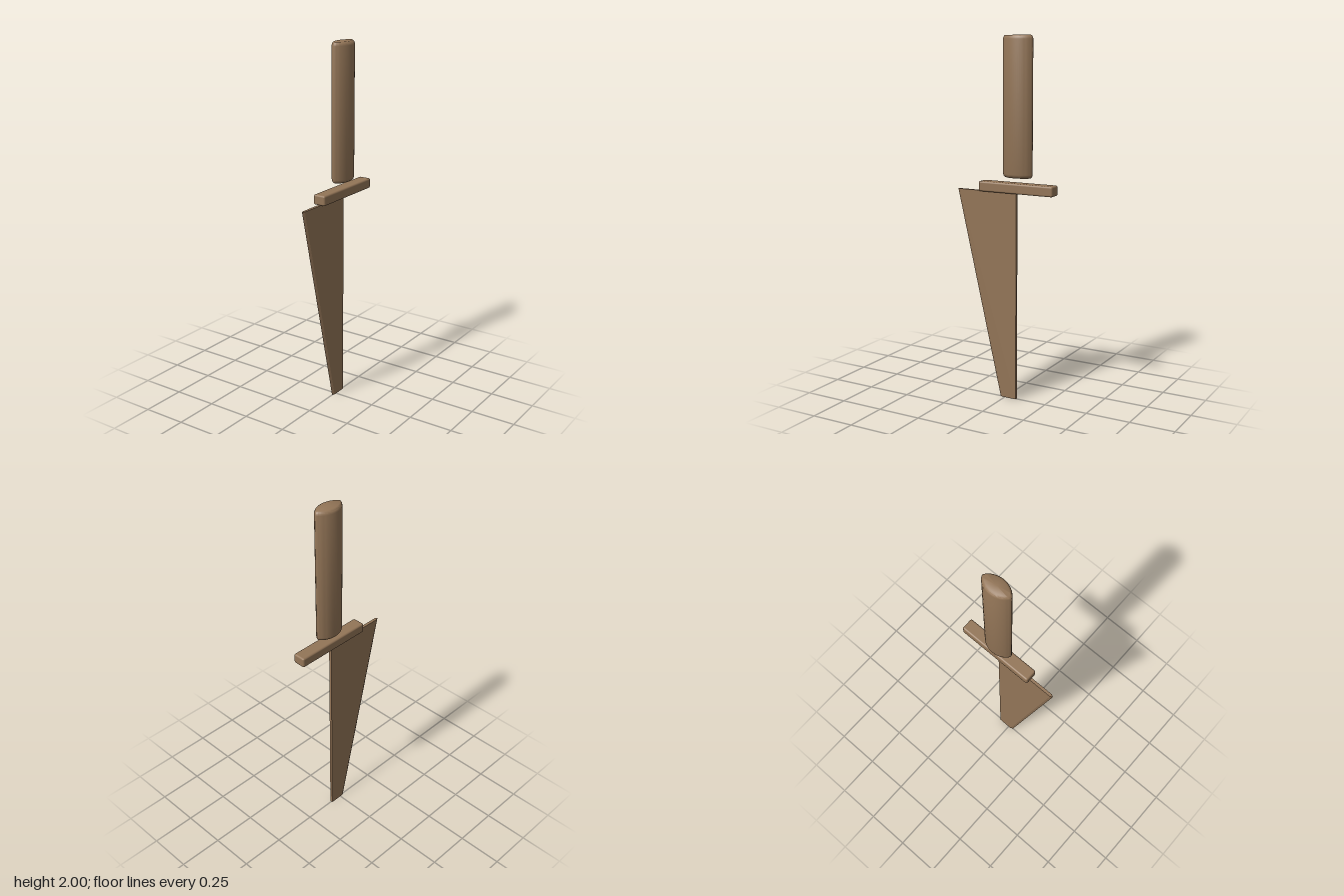
import * as THREE from 'three';
import { toCreasedNormals } from 'three/addons/utils/BufferGeometryUtils.js';
import { RoundedBoxGeometry } from 'three/addons/geometries/RoundedBoxGeometry.js';

const wood = new THREE.MeshStandardMaterial({ color: 0x937557 });
wood.name = 'brown wood';

// Lens-shaped grip: a lathe whose round section is reshaped to a pointed oval
function gripGeometry() {
  const rim = [[0, 0], [0.72, 0], [0.86, 0.004], [0.95, 0.01], [1, 0.02]];
  const profile = [
    ...rim.map(([r, h]) => new THREE.Vector2(r, 1.25 + h)),
    ...rim.reverse().map(([r, h]) => new THREE.Vector2(r, 2 - h)),
  ];
  const geometry = new THREE.LatheGeometry(profile, 48);
  const p = geometry.attributes.position;
  for (let i = 0; i < p.count; i++) {
    const r = Math.hypot(p.getX(i), p.getZ(i));
    const s = r ? p.getX(i) / r : 0;
    const c = r ? p.getZ(i) / r : 0;
    p.setX(i, 0.05 * r * Math.sign(s) * Math.abs(s) ** 1.4);
    p.setZ(i, -0.076 + 0.089 * Math.sqrt(r) * c);
  }
  return toCreasedNormals(geometry, 0.7);
}

// Thin blade with a square spine and a sharpened front, widening upwards
function bladeGeometry() {
  const t = 0.008;
  const section = new THREE.Shape([
    [-t, 0.07], [-t, -0.016], [0, -0.03], [t, -0.016], [t, 0.07],
  ].map(([x, y]) => new THREE.Vector2(x, y)));
  const geometry = new THREE.ExtrudeGeometry(section, { depth: 1.165, bevelEnabled: false });
  geometry.rotateX(-Math.PI / 2);
  const p = geometry.attributes.position;
  for (let i = 0; i < p.count; i++) {
    if (p.getY(i) > 0.5 && p.getZ(i) > 0) p.setZ(i, p.getZ(i) + 0.27);
  }
  geometry.computeVertexNormals();
  return toCreasedNormals(geometry, 0.2);
}

export function createModel() {
  const group = new THREE.Group();
  const add = (name, geometry) => {
    const mesh = new THREE.Mesh(geometry, wood);
    mesh.name = name;
    group.add(mesh);
    return mesh;
  };
  add('handle', gripGeometry());
  add('guard', new RoundedBoxGeometry(0.072, 0.056, 0.45, 3, 0.01)).position.set(0, 1.192, -0.075);
  add('blade', bladeGeometry());
  return group;
}
